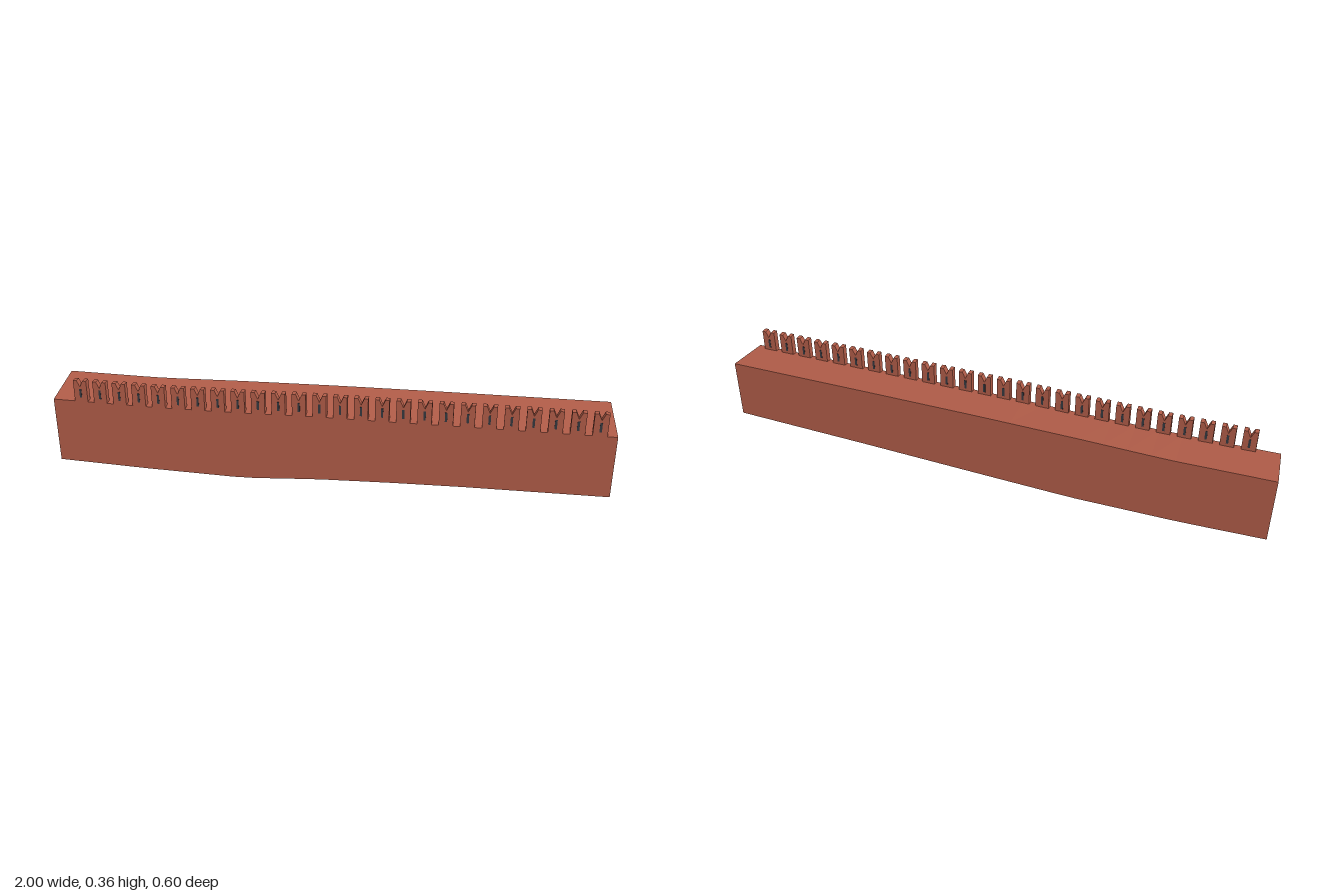
import * as THREE from 'three';

const brick = new THREE.MeshStandardMaterial({ color: 0xb05c48, side: THREE.DoubleSide });
brick.name = 'brick red';
const slitDark = new THREE.MeshStandardMaterial({ color: 0x34383f });
slitDark.name = 'slit dark grey';

// plan ends of the front and back edges: [x, z]
const FRONT = [[-0.95, 0.3], [1, -0.105]];
const BACK = [[-1, 0.11], [0.945, -0.3]];

// height profiles along the wall: [t, y]
const frontTop = [[0, 0.257], [0.2, 0.256], [0.37, 0.262], [0.47, 0.269], [0.62, 0.272], [0.74, 0.276], [1, 0.282]];
const frontBottom = [[0, 0.01], [0.17, 0.003], [0.355, 0], [0.49, 0.021], [0.62, 0.033], [0.75, 0.042], [1, 0.053]];
const backTop = [[0, 0.285], [0.18, 0.284], [0.34, 0.295], [0.52, 0.304], [0.73, 0.311], [1, 0.318]];
const backBottom = [[0, 0.04], [0.15, 0.033], [0.34, 0.035], [0.51, 0.051], [0.75, 0.075], [1, 0.097]];

function heightAt(profile, t) {
  let i = 1;
  while (i < profile.length - 1 && t > profile[i][0]) i++;
  const [a, b] = [profile[i - 1], profile[i]];
  return THREE.MathUtils.lerp(a[1], b[1], (t - a[0]) / (b[0] - a[0]));
}

function pointOn(edge, t, profile) {
  const [a, b] = edge;
  return [a[0] + (b[0] - a[0]) * t, heightAt(profile, t), a[1] + (b[1] - a[1]) * t];
}

// wall: open-bottomed shell that follows the sloping ground
function wallGeometry() {
  const n = 24;
  const pos = [];
  const quad = (a, b, c, d) => pos.push(...a, ...b, ...c, ...a, ...c, ...d);
  const section = (t) => [
    pointOn(FRONT, t, frontBottom), pointOn(FRONT, t, frontTop),
    pointOn(BACK, t, backTop), pointOn(BACK, t, backBottom),
  ];
  const rings = Array.from({ length: n + 1 }, (_, i) => section(i / n));
  for (let i = 0; i < n; i++) {
    const p = rings[i], q = rings[i + 1];
    for (let k = 0; k < 3; k++) quad(p[k], q[k], q[k + 1], p[k + 1]);
  }
  const s = rings[0], e = rings[n];
  quad(s[3], s[0], s[1], s[2]);
  quad(e[0], e[3], e[2], e[1]);
  const g = new THREE.BufferGeometry();
  g.setAttribute('position', new THREE.Float32BufferAttribute(pos, 3));
  g.computeVertexNormals();
  return g;
}

// merlon: swallow-tailed block, front face at z = 0
const W = 0.049, H = 0.081, D = 0.023;
function merlonGeometry() {
  const s = new THREE.Shape();
  s.moveTo(-W / 2, -0.003);
  s.lineTo(W / 2, -0.003);
  s.lineTo(W / 2, H);
  s.lineTo(W * 0.22, H);
  s.lineTo(0, H - 0.024);
  s.lineTo(-W * 0.22, H);
  s.lineTo(-W / 2, H);
  s.closePath();
  const g = new THREE.ExtrudeGeometry(s, { depth: D, bevelEnabled: false });
  g.translate(0, 0, -D);
  return g;
}

export function createModel() {
  const model = new THREE.Group();
  model.name = 'battlementWall';

  const wall = new THREE.Mesh(wallGeometry(), brick);
  wall.name = 'wall';
  model.add(wall);

  const merlonGeo = merlonGeometry();
  const slitGeo = new THREE.BoxGeometry(0.008, 0.034, 0.002);
  const angle = Math.atan2(FRONT[0][1] - FRONT[1][1], FRONT[1][0] - FRONT[0][0]);
  const count = 26;
  for (let i = 0; i < count; i++) {
    const x = -0.845 + i * 0.0715;
    const t = (x - FRONT[0][0]) / (FRONT[1][0] - FRONT[0][0]);
    const merlon = new THREE.Group();
    merlon.name = 'merlon';
    merlon.position.set(...pointOn(FRONT, t, frontTop));
    merlon.rotation.y = angle;
    const block = new THREE.Mesh(merlonGeo, brick);
    block.name = 'merlonBlock';
    merlon.add(block);
    // arrow slit on both faces
    for (const z of [0, -D]) {
      const slit = new THREE.Mesh(slitGeo, slitDark);
      slit.name = 'arrowSlit';
      slit.position.set(0, 0.032, z);
      merlon.add(slit);
    }
    model.add(merlon);
  }
  return model;
}
